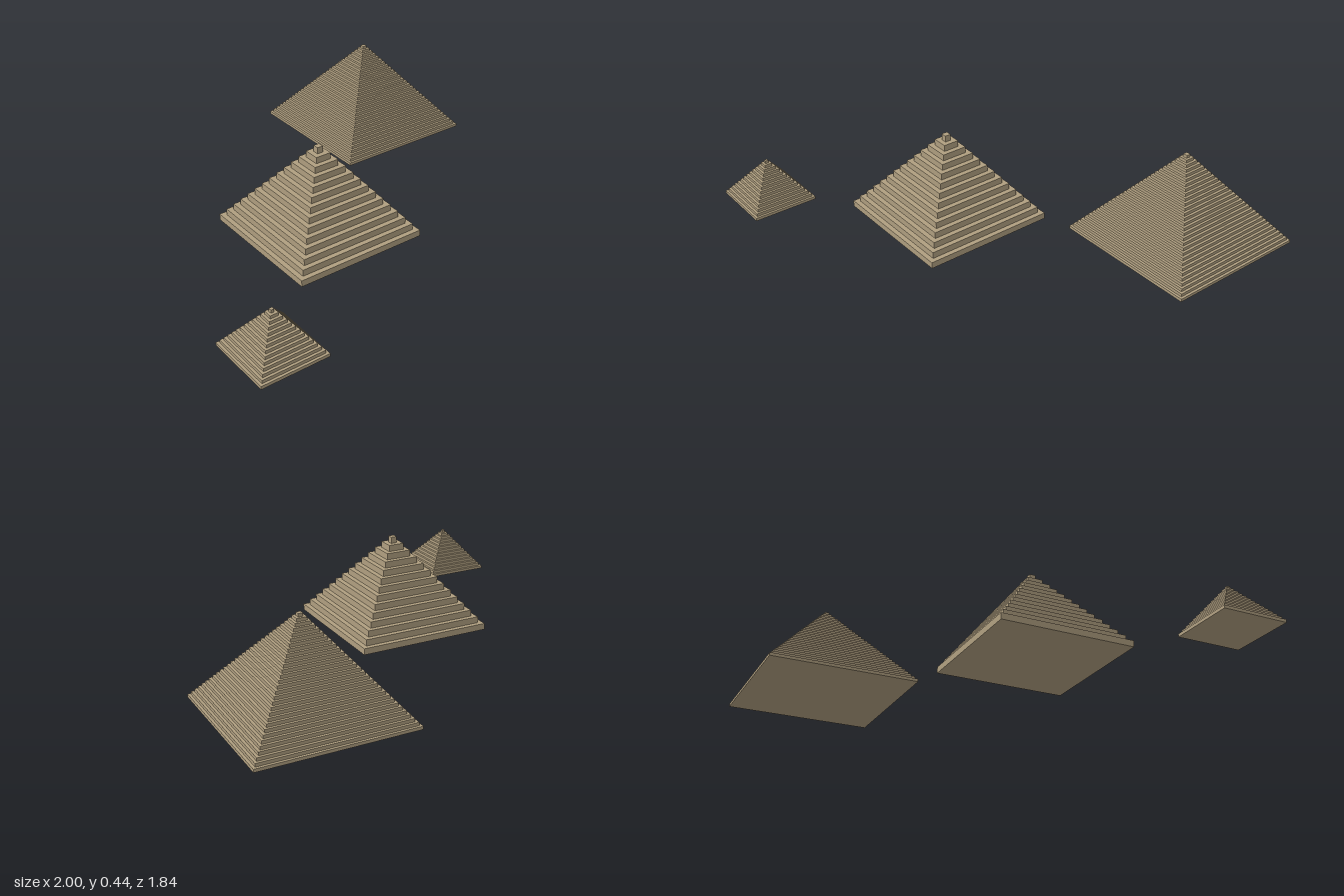
import * as THREE from 'three';

export function createModel() {
  const model = new THREE.Group();
  model.name = 'steppedPyramids';
  const stone = new THREE.MeshStandardMaterial({ color: 0xb09f80 });
  stone.name = 'sandstone';

  // Square slabs stacked in even steps from the base to a small cap
  function pyramid(name, x, z, base, cap, height, layers) {
    const group = new THREE.Group();
    group.name = name;
    group.position.set(x, 0, z);
    const h = height / layers;
    for (let i = 0; i < layers; i++) {
      const w = THREE.MathUtils.lerp(base, cap, i / (layers - 1));
      const slab = new THREE.Mesh(new THREE.BoxGeometry(w, h, w), stone);
      slab.name = i === layers - 1 ? 'capstone' : `step${i + 1}`;
      slab.position.y = (i + 0.5) * h;
      group.add(slab);
    }
    model.add(group);
  }

  pyramid('largePyramid', 0.641, -0.563, 0.718, 0.022, 0.437, 30);
  pyramid('middlePyramid', -0.181, 0.161, 0.654, 0.029, 0.428, 14);
  pyramid('smallPyramid', -0.84, 0.761, 0.32, 0.015, 0.204, 14);

  return model;
}
